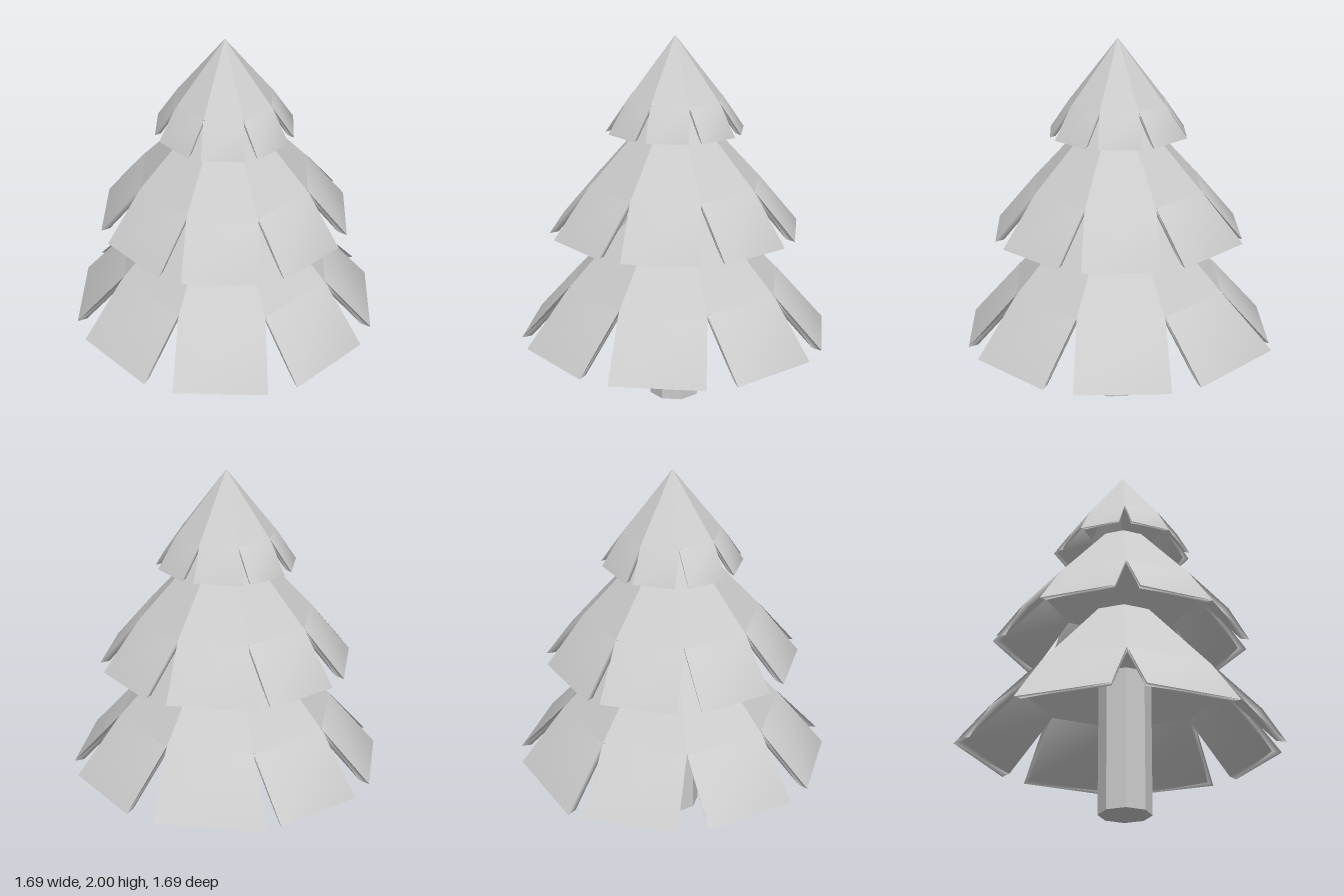
import * as THREE from 'three';
import { mergeVertices } from 'three/addons/utils/BufferGeometryUtils.js';

const SIDES = 8;
const STEP = (Math.PI * 2) / SIDES;

// Each tier: a hollow cone given by its profile (radius, y), then flaps hanging from its rim.
// a0/w0 = distance from axis and half width at the rim, a1/w1 = same at the hem,
// wide = half width of the flared hem corner, t = horizontal flap thickness.
const TIERS = [
  { name: 'lower', profile: [[0.59, 0.67], [0.19, 1.1], [0, 1.16]], a0: 0.547, w0: 0.226, hemY: 0.375, a1: 0.81, w1: 0.247, wide: 0.338, t: 0.05 },
  { name: 'middle', profile: [[0.47, 1.22], [0.14, 1.58], [0, 1.6]], a0: 0.436, w0: 0.18, hemY: 0.963, a1: 0.65, w1: 0.201, wide: 0.264, t: 0.045 },
  { name: 'upper', profile: [[0.26, 1.67], [0, 2]], a0: 0.242, w0: 0.1, hemY: 1.503, a1: 0.355, w1: 0.11, wide: 0.148, t: 0.03 },
];

// A sloping slab with a bevelled underside; smooth normals across its corners.
function flapGeometry(tier, hemRight) {
  const geo = new THREE.BoxGeometry(2, 2, 2);
  const pos = geo.attributes.position;
  const rimY = tier.profile[0][1];
  for (let i = 0; i < pos.count; i++) {
    const top = pos.getY(i) > 0;
    const inner = pos.getZ(i) < 0;
    const side = pos.getX(i);
    const half = top ? tier.w0 : side > 0 ? hemRight : tier.w1;
    pos.setXYZ(
      i,
      side * (half - (inner ? tier.t * 0.35 : 0)),
      (top ? rimY : tier.hemY) + (inner && !top ? 0.006 : 0),
      (top ? tier.a0 : tier.a1) - (inner ? tier.t : 0),
    );
  }
  geo.deleteAttribute('normal');
  geo.deleteAttribute('uv');
  const merged = mergeVertices(geo);
  merged.computeVertexNormals();
  return merged;
}

export function createModel() {
  const tree = new THREE.Group();
  tree.name = 'tree';
  const flat = new THREE.MeshStandardMaterial({ color: 0xcccccc, flatShading: true });
  const shell = new THREE.MeshStandardMaterial({ color: 0xcccccc, flatShading: true, side: THREE.DoubleSide });
  const smooth = new THREE.MeshStandardMaterial({ color: 0xcccccc });

  // Trunk, slightly off centre, ending inside the lowest cone
  const trunk = new THREE.Mesh(new THREE.CylinderGeometry(0.14, 0.14, 0.757, SIDES), flat);
  trunk.name = 'trunk';
  trunk.position.set(0.008, 0.3785, 0.008);
  tree.add(trunk);

  for (const tier of TIERS) {
    const group = new THREE.Group();
    group.name = `${tier.name}Tier`;

    // Faceted cone, open underneath
    const points = tier.profile.map(([r, y]) => new THREE.Vector2(r, y));
    const cone = new THREE.Mesh(new THREE.LatheGeometry(points, SIDES), shell);
    cone.name = `${tier.name}Cone`;
    group.add(cone);

    // Ring of flaps, one per cone face; a single back flap flares wider
    const regular = flapGeometry(tier, tier.w1);
    const flared = flapGeometry(tier, tier.wide);
    for (let k = 0; k < SIDES; k++) {
      const flap = new THREE.Mesh(k === 4 ? flared : regular, smooth);
      flap.name = `${tier.name}Flap${k + 1}`;
      flap.rotation.y = (k + 0.5) * STEP;
      group.add(flap);
    }
    tree.add(group);
  }
  return tree;
}
